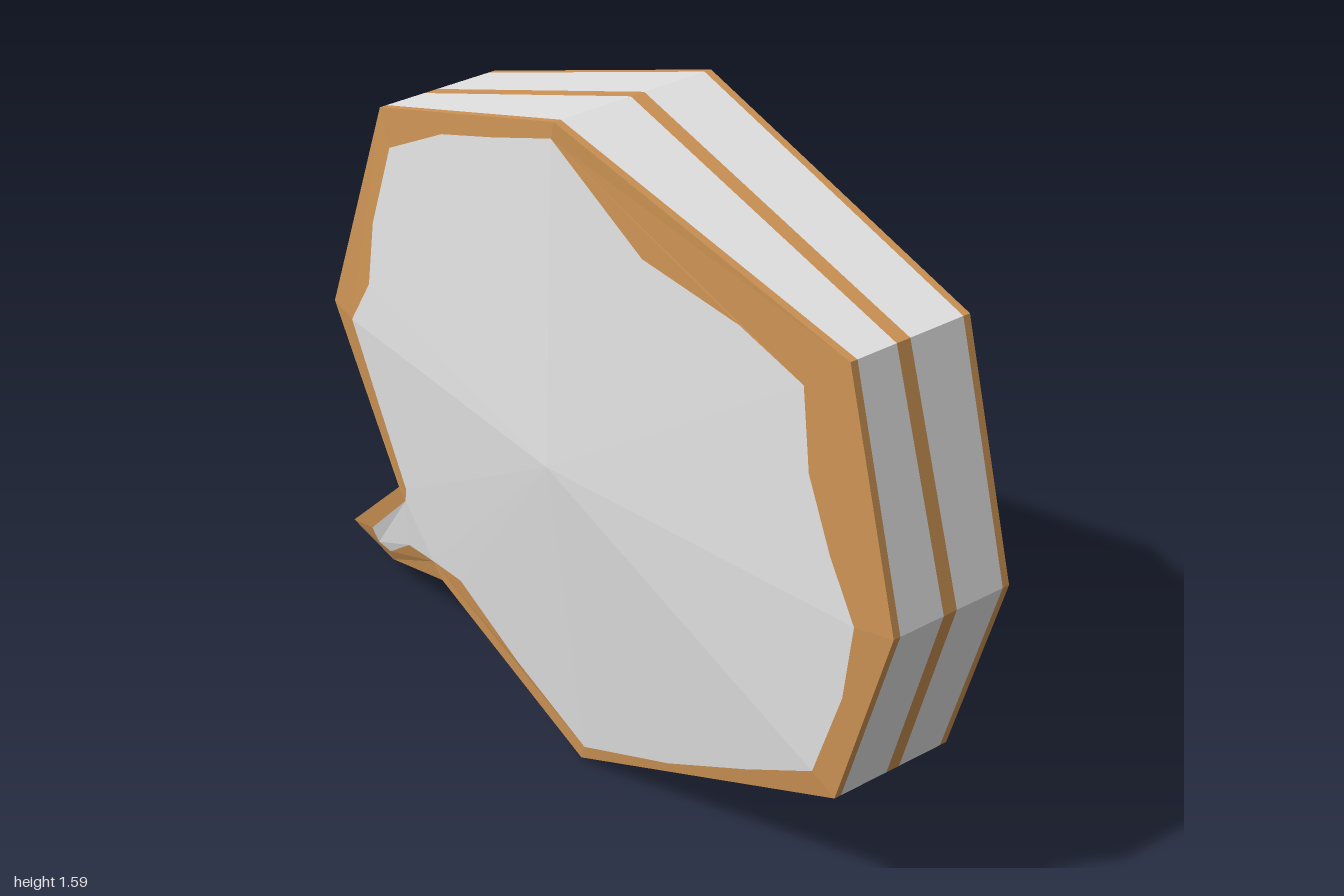
import * as THREE from 'three';

// Rim corners as [z, yRight(+x), xRight, yLeft(-x), xLeft, stripe centre], clockwise from the top.
// Corners 5 and 8 are the neck of the tail, 6 and 7 its tip.
const RIM = [
  [0.06, 1.59, 0.19, 1.59, -0.23, -0.01],
  [0.85, 1.335, 0.18, 1.335, -0.14, 0],
  [1.0, 0.78, 0.18, 0.78, -0.14, 0.015],
  [0.85, 0.32, 0.18, 0.32, -0.14, 0.025],
  [0.06, 0.005, 0.19, 0.015, -0.17, 0],
  [-0.49, 0.25, 0.18, 0.21, -0.14, 0.01],
  [-0.84, 0.06, 0.07, 0.06, -0.03, 0.02],
  [-1.0, 0.10, 0.07, 0.10, -0.03, 0.02],
  [-0.65, 0.355, 0.18, 0.39, -0.14, 0.01],
  [-0.88, 0.79, 0.18, 0.79, -0.14, 0],
  [-0.67, 1.35, 0.18, 1.35, -0.14, 0],
];
const NECK_A = 5, NECK_B = 8;

// Worn border line on each face as [z, y]: before the neck, around the tail, after the neck
const BORDER_FRONT = [
  [0.05, 1.55], [0.31, 1.37], [0.57, 1.315], [0.74, 1.245], [0.765, 1.06], [0.83, 0.9],
  [0.9, 0.765], [0.87, 0.58], [0.79, 0.36], [0.59, 0.26], [0.35, 0.15], [0.075, 0.053],
  [-0.18, 0.15], [-0.4, 0.257],
];
const BORDER_TAIL = [[-0.66, 0.215], [-0.82, 0.1], [-0.88, 0.096], [-0.885, 0.14]];
const BORDER_BACK = [
  [-0.615, 0.4], [-0.705, 0.58], [-0.8, 0.775], [-0.717, 0.9], [-0.7, 1.06],
  [-0.626, 1.27], [-0.396, 1.39], [-0.18, 1.465],
];

// Collects triangles, each turned to face a given outward direction
class Surface {
  constructor() { this.points = []; }
  tri(a, b, c, out) {
    const n = b.clone().sub(a).cross(c.clone().sub(a));
    for (const p of n.dot(out) < 0 ? [a, c, b] : [a, b, c]) this.points.push(p);
  }
  quad(a, b, c, d, out) {
    this.tri(a, b, c, out);
    this.tri(a, c, d, out);
  }
  mesh(name, material) {
    const geometry = new THREE.BufferGeometry().setFromPoints(this.points);
    geometry.computeVertexNormals();
    const mesh = new THREE.Mesh(geometry, material);
    mesh.name = name;
    return mesh;
  }
}

const flat = (p) => new THREE.Vector2(p.z, p.y);

function fillPolygon(surface, outer, holes, out) {
  const all = [...outer, ...holes.flat()];
  const faces = THREE.ShapeUtils.triangulateShape(outer.map(flat), holes.map((h) => h.map(flat)));
  for (const [a, b, c] of faces) surface.tri(all[a], all[b], all[c], out);
}

// Finds x on a faceted face at a given z and y
function heightOn(facets, z, y) {
  let best = -Infinity, x = 0;
  for (const f of facets) {
    const [a, b, c] = f.map((p) => new THREE.Vector3(p.z, p.y, 0));
    const w = new THREE.Vector3();
    if (!THREE.Triangle.getBarycoord(new THREE.Vector3(z, y, 0), a, b, c, w)) continue;
    const inside = Math.min(w.x, w.y, w.z);
    if (inside > best) {
      best = inside;
      x = w.x * f[0].x + w.y * f[1].x + w.z * f[2].x;
    }
  }
  return x;
}

// One shallow domed face: plain centre, tail panel and coloured border
function addFace(corners, apex, out, panel, border) {
  const body = corners.filter((_, i) => i <= NECK_A || i >= NECK_B);
  const facets = body.map((p, i) => [apex, p, body[(i + 1) % body.length]]);
  const tail = corners.slice(NECK_A, NECK_B + 1);
  facets.push([tail[0], tail[1], tail[2]], [tail[0], tail[2], tail[3]]);

  const place = ([z, y]) => new THREE.Vector3(heightOn(facets, z, y), y, z);
  const neckA = tail[0].clone().lerp(tail[3], 0.2);
  const neckB = tail[0].clone().lerp(tail[3], 0.85);
  const front = BORDER_FRONT.map(place), back = BORDER_BACK.map(place);
  const tailLine = BORDER_TAIL.map(place);

  const centre = [...front, neckA, neckB, ...back];
  centre.forEach((p, i) => panel.tri(apex, p, centre[(i + 1) % centre.length], out));
  fillPolygon(panel, [neckA, ...tailLine, neckB], [], out);
  fillPolygon(border, corners, [[...front, neckA, ...tailLine, neckB, ...back]], out);
}

export function createModel() {
  const group = new THREE.Group();
  group.name = 'speechBubble';
  const grey = new THREE.MeshStandardMaterial({ color: 0xe4e4e4 });
  grey.name = 'light grey';
  const tan = new THREE.MeshStandardMaterial({ color: 0xce9455 });
  tan.name = 'tan';

  const left = RIM.map(([z, y, x]) => new THREE.Vector3(x, y, z));
  const right = RIM.map(([z, , , y, x]) => new THREE.Vector3(x, y, z));

  // Two broad faces
  const sides = [
    ['left', left, new THREE.Vector3(0.26, 0.75, 0.06), 1],
    ['right', right, new THREE.Vector3(-0.26, 0.8, 0.06), -1],
  ];
  for (const [name, corners, apex, sign] of sides) {
    const panel = new Surface(), border = new Surface();
    addFace(corners, apex, new THREE.Vector3(sign, 0, 0), panel, border);
    group.add(panel.mesh(name + 'Face', grey), border.mesh(name + 'FaceBorder', tan));
  }

  // Striped edge band; u runs from right to left across it, t along each edge
  const band = new Surface(), stripes = new Surface();
  const across = (i, u) => right[i].clone().lerp(left[i], u);
  const strip = (i, j, cutsI, cutsJ, out, t0 = 0, t1 = 1) => {
    for (let k = 0; k + 1 < cutsI.length; k++) {
      const at = (n, t) => across(i, cutsI[n]).lerp(across(j, cutsJ[n]), t);
      (k % 2 ? band : stripes).quad(at(k, t0), at(k + 1, t0), at(k + 1, t1), at(k, t1), out);
    }
  };
  const cutsAt = (i) => {
    const width = left[i].x - right[i].x;
    const u = (x) => (x - right[i].x) / width;
    const m = RIM[i][5], s = Math.min(0.018, width * 0.15);
    return [0, s / width, u(m - s), u(m + s), 1 - s / width, 1];
  };
  RIM.forEach((_, i) => {
    const j = (i + 1) % RIM.length;
    const out = new THREE.Vector3(0, left[j].z - left[i].z, left[i].y - left[j].y);
    if (i === 6) {
      // Blunt tip of the tail
      strip(i, j, [0, 1], [0, 1], out);
    } else if (i === 7) {
      // Upper side of the tail, running from tip to neck
      const tip = [0, 0.27, 0.73, 1], fork = [0, 0.15, 0.42, 0.58, 0.85, 1];
      strip(i, j, tip, tip, out, 0, 0.45);
      strip(i, j, fork, fork, out, 0.45, 0.88);
      strip(i, j, [0, 1], [0, 1], out, 0.88, 1);
    } else {
      strip(i, j, cutsAt(i), cutsAt(j), out);
    }
  });
  group.add(band.mesh('edgeBand', grey), stripes.mesh('edgeStripes', tan));
  return group;
}
